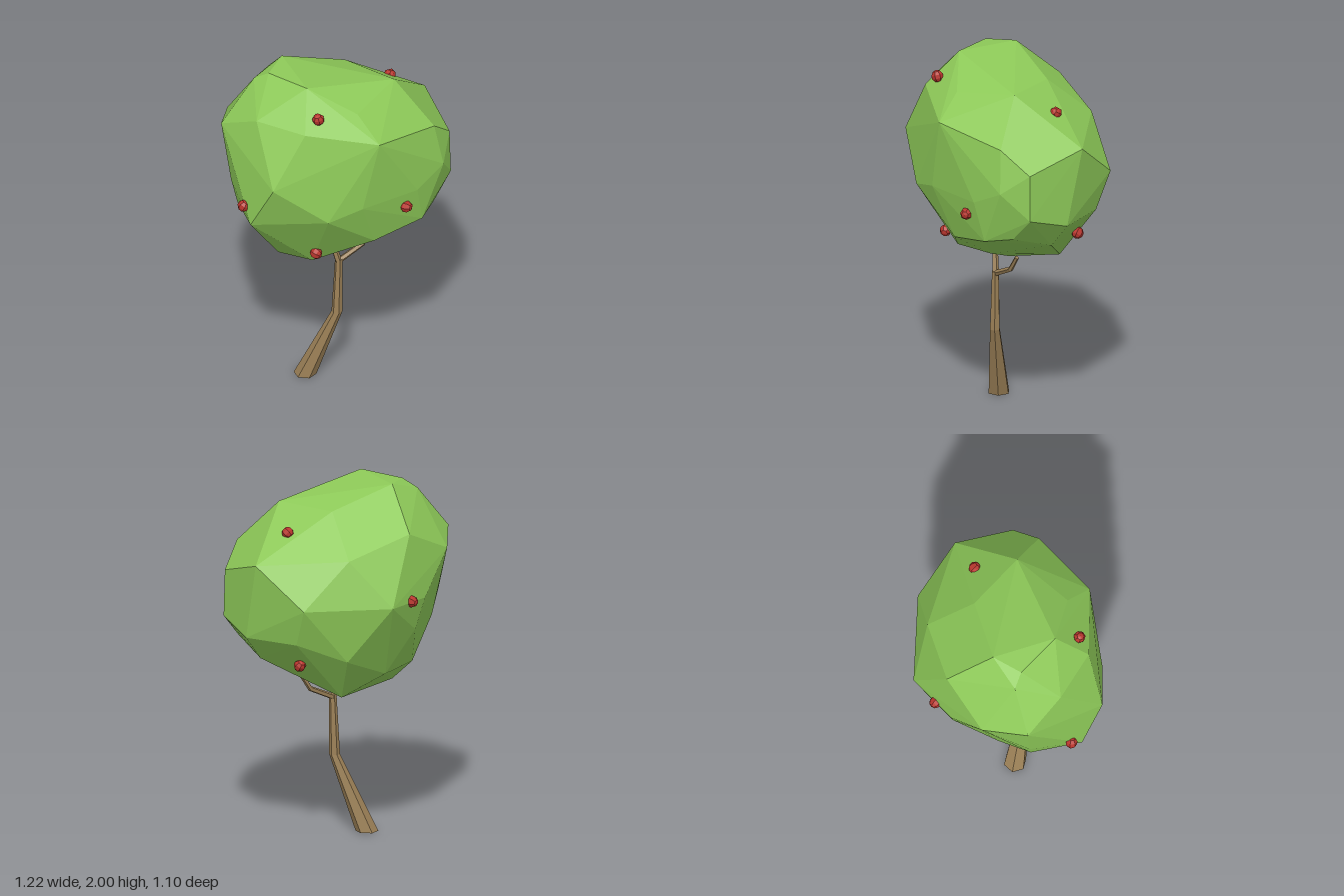
import * as THREE from 'three';
import { ConvexGeometry } from 'three/addons/geometries/ConvexGeometry.js';

const leafGreen = new THREE.MeshStandardMaterial({ name: 'leafGreen', color: 0x8dc958 });
const barkBrown = new THREE.MeshStandardMaterial({ name: 'barkBrown', color: 0x9c8157 });
const fruitRed = new THREE.MeshStandardMaterial({ name: 'fruitRed', color: 0xb8352d });

const V = (x, y, z) => new THREE.Vector3(x, y, z);

// Faceted limb through [x, y, z, radius] stations; level keeps its rings horizontal
function limb(stations, sides, level) {
  const centres = stations.map(([x, y, z]) => V(x, y, z));
  const rings = stations.map((s, i) => {
    const t = level ? V(0, 1, 0) : centres[Math.min(i + 1, centres.length - 1)].clone()
      .sub(centres[Math.max(i - 1, 0)]).normalize();
    const u = V(0, 0, 1).cross(t).normalize();
    const v = t.clone().cross(u);
    return Array.from({ length: sides }, (_, k) => {
      const a = (k / sides) * Math.PI * 2;
      return centres[i].clone().addScaledVector(u, Math.cos(a) * s[3]).addScaledVector(v, Math.sin(a) * s[3]);
    });
  });
  const tris = [];
  const last = rings.length - 1;
  for (let k = 0; k < sides; k++) {
    const n = (k + 1) % sides;
    for (let i = 0; i < last; i++) {
      const a = rings[i], b = rings[i + 1];
      tris.push(a[k], a[n], b[n], a[k], b[n], b[k]);
    }
    tris.push(centres[0], rings[0][n], rings[0][k], centres[last], rings[last][k], rings[last][n]);
  }
  const g = new THREE.BufferGeometry().setFromPoints(tris);
  g.computeVertexNormals();
  return g;
}

// Corners of the faceted crown, from the top down
const crownCorners = [
  [-0.27, 2, 0.05], [-0.1, 2, -0.265], [-0.27, 1.99, -0.22], [-0.3, 1.94, -0.3],
  [0.225, 1.9, 0.265], [0.22, 1.89, -0.08], [-0.13, 1.86, 0.295], [-0.42, 1.81, 0.16],
  [-0.485, 1.82, -0.13], [-0.405, 1.81, -0.33], [0.05, 1.78, -0.475], [-0.14, 1.73, 0.46],
  [-0.48, 1.7, -0.385], [0.285, 1.66, 0.5], [0.607, 1.63, 0.17], [0.375, 1.67, -0.29],
  [-0.26, 1.64, -0.52], [-0.6, 1.5, 0.08], [0.455, 1.53, 0.47], [0.31, 1.42, 0.545],
  [0.595, 1.41, -0.137], [0.27, 1.41, -0.51], [-0.03, 1.41, -0.525], [-0.45, 1.34, -0.34],
  [0.12, 1.33, 0.515], [-0.22, 1.33, 0.405], [-0.39, 1.28, 0.3], [-0.6, 1.22, -0.08],
  [0.46, 1.27, 0.475], [0.565, 1.2, 0.26], [0.55, 1.2, -0.06], [0, 1.23, -0.48],
  [0.39, 1.1, -0.29], [-0.43, 1.19, -0.31], [0.34, 1.14, 0.46], [0.18, 1.11, 0.5],
  [-0.09, 1.05, 0.38], [0.45, 1.06, 0.24], [0.1, 0.98, -0.35], [-0.2, 0.98, -0.33],
  [0, 0.9, 0.15], [-0.26, 0.885, 0.08], [-0.26, 0.84, -0.16], [0.25, 0.85, -0.16], [-0.03, 0.81, -0.08],
];

// Fruit positions on the crown's surface
const fruitSpots = [
  [-0.33, 1.88, 0.18], [0.39, 1.78, 0.1], [0.055, 1.245, 0.49], [-0.3, 0.975, 0.14],
  [0.455, 1.057, -0.02], [-0.58, 1.31, -0.145], [0.095, 1.415, -0.52],
];

export function createModel() {
  const tree = new THREE.Group();
  tree.name = 'fruitTree';
  const add = (name, geometry, material) => {
    const mesh = new THREE.Mesh(geometry, material);
    mesh.name = name;
    tree.add(mesh);
    return mesh;
  };

  // Leaning trunk and its fork
  add('trunk', limb([[-0.105, 0, -0.096, 0.063], [-0.028, 0.43, 0.066, 0.03], [-0.02, 0.77, 0.073, 0.021]], 6, true), barkBrown);
  add('longBranch', limb([[-0.025, 0.755, 0.07, 0.017], [0.115, 0.825, 0.13, 0.015], [0.17, 0.91, 0.153, 0.012]], 5), barkBrown);
  add('shortBranch', limb([[-0.02, 0.75, 0.073, 0.02], [-0.038, 0.86, 0.048, 0.017]], 5), barkBrown);

  // Crown
  add('crown', new ConvexGeometry(crownCorners.map((p) => V(...p))), leafGreen);

  // Fruit
  const fruitShape = new THREE.SphereGeometry(0.034, 7, 5).toNonIndexed();
  fruitShape.computeVertexNormals();
  fruitSpots.forEach((p, i) => {
    const fruit = add('fruit' + (i + 1), fruitShape, fruitRed);
    fruit.position.set(...p);
    fruit.rotation.set(i * 0.7, i * 1.3, 0.3);
  });
  return tree;
}
